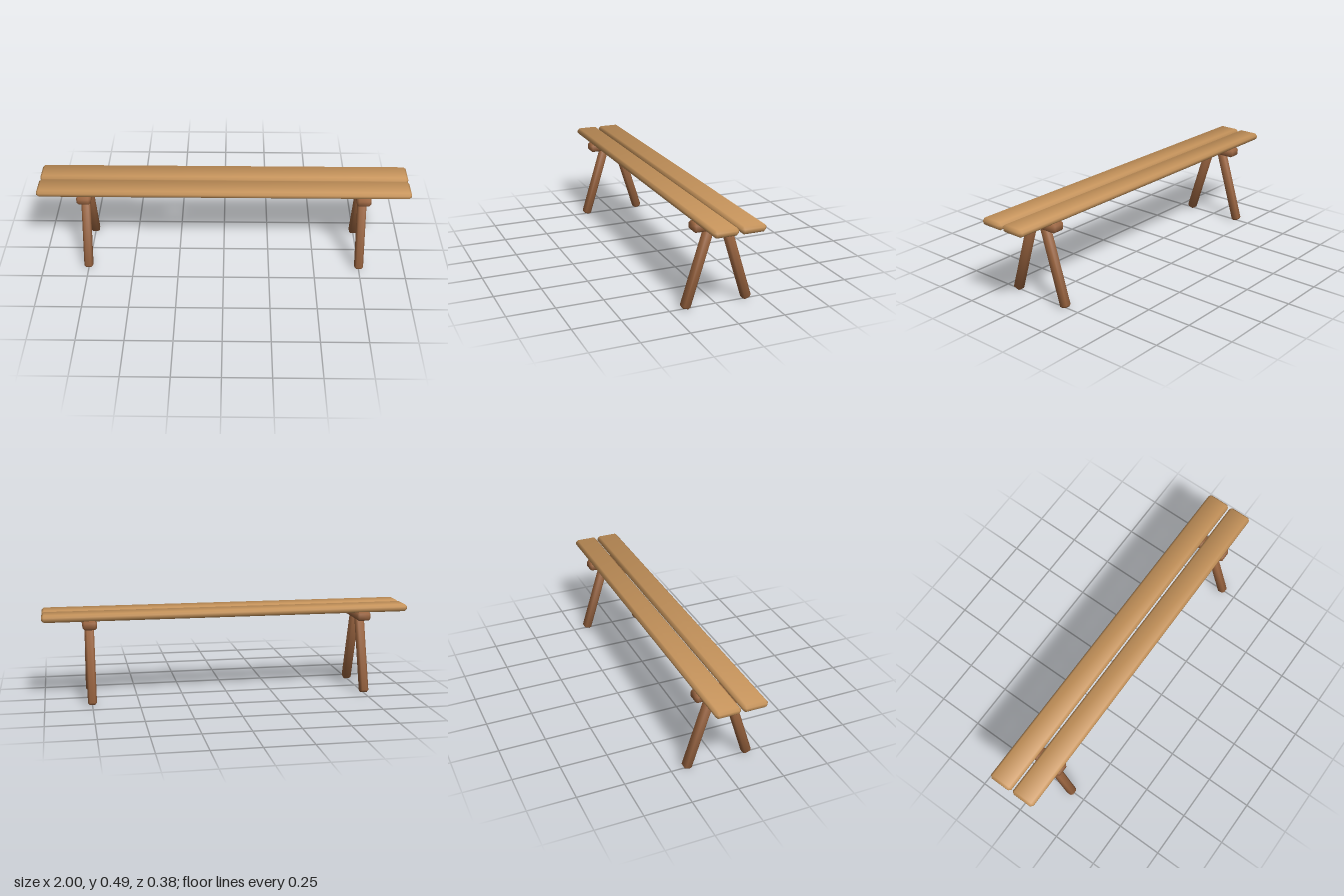
import * as THREE from 'three';
import { ConvexGeometry } from 'three/addons/geometries/ConvexGeometry.js';

// Box with chamfered edges; soft normals lean outward at every corner
function chamferBox(w, h, d, bevel) {
  const half = [w / 2, h / 2, d / 2];
  const points = [];
  for (const sx of [-1, 1]) for (const sy of [-1, 1]) for (const sz of [-1, 1]) {
    const s = [sx, sy, sz];
    for (let axis = 0; axis < 3; axis++) {
      points.push(new THREE.Vector3(...s.map((v, i) => v * (half[i] - (i === axis ? 0 : bevel)))));
    }
  }
  const geo = new ConvexGeometry(points);
  const pos = geo.attributes.position;
  const n = new THREE.Vector3();
  for (let i = 0; i < pos.count; i++) {
    const p = [pos.getX(i), pos.getY(i), pos.getZ(i)];
    n.set(...p.map((v, k) => Math.sign(v) * (half[k] - Math.abs(v) < 1e-5 ? 1 : 0.39))).normalize();
    geo.attributes.normal.setXYZ(i, n.x, n.y, n.z);
  }
  return geo;
}

export function createModel() {
  const lightWood = new THREE.MeshStandardMaterial({ name: 'lightWood', color: 0xc8955c });
  const darkWood = new THREE.MeshStandardMaterial({ name: 'darkWood', color: 0x9b6540 });

  const bench = new THREE.Group();
  bench.name = 'bench';
  const add = (name, geo, mat, x, y, z) => {
    const mesh = new THREE.Mesh(geo, mat);
    mesh.name = name;
    mesh.position.set(x, y, z);
    bench.add(mesh);
    return mesh;
  };

  const plank = chamferBox(2, 0.039, 0.129, 0.0125);
  const crossBar = chamferBox(0.076, 0.048, 0.28, 0.011);
  const legLength = 0.448, tilt = 0.3;
  const leg = chamferBox(0.047, legLength, 0.047, 0.01);
  leg.translate(0, legLength / 2, 0); // pivot at the foot

  // Two seat planks with a narrow gap
  for (const s of [1, -1]) add(s > 0 ? 'frontPlank' : 'backPlank', plank, lightWood, 0, 0.466, s * 0.0705);

  // Trestle at each end: cross bar and two splayed legs
  for (const side of [1, -1]) {
    const label = side > 0 ? 'left' : 'right';
    add(label + 'CrossBar', crossBar, darkWood, side * 0.75, 0.425, 0);
    for (const s of [1, -1]) {
      const mesh = add(label + (s > 0 ? 'FrontLeg' : 'BackLeg'), leg, darkWood, side * 0.75, 0.004, s * 0.169);
      mesh.rotation.x = -s * tilt;
    }
  }
  return bench;
}
